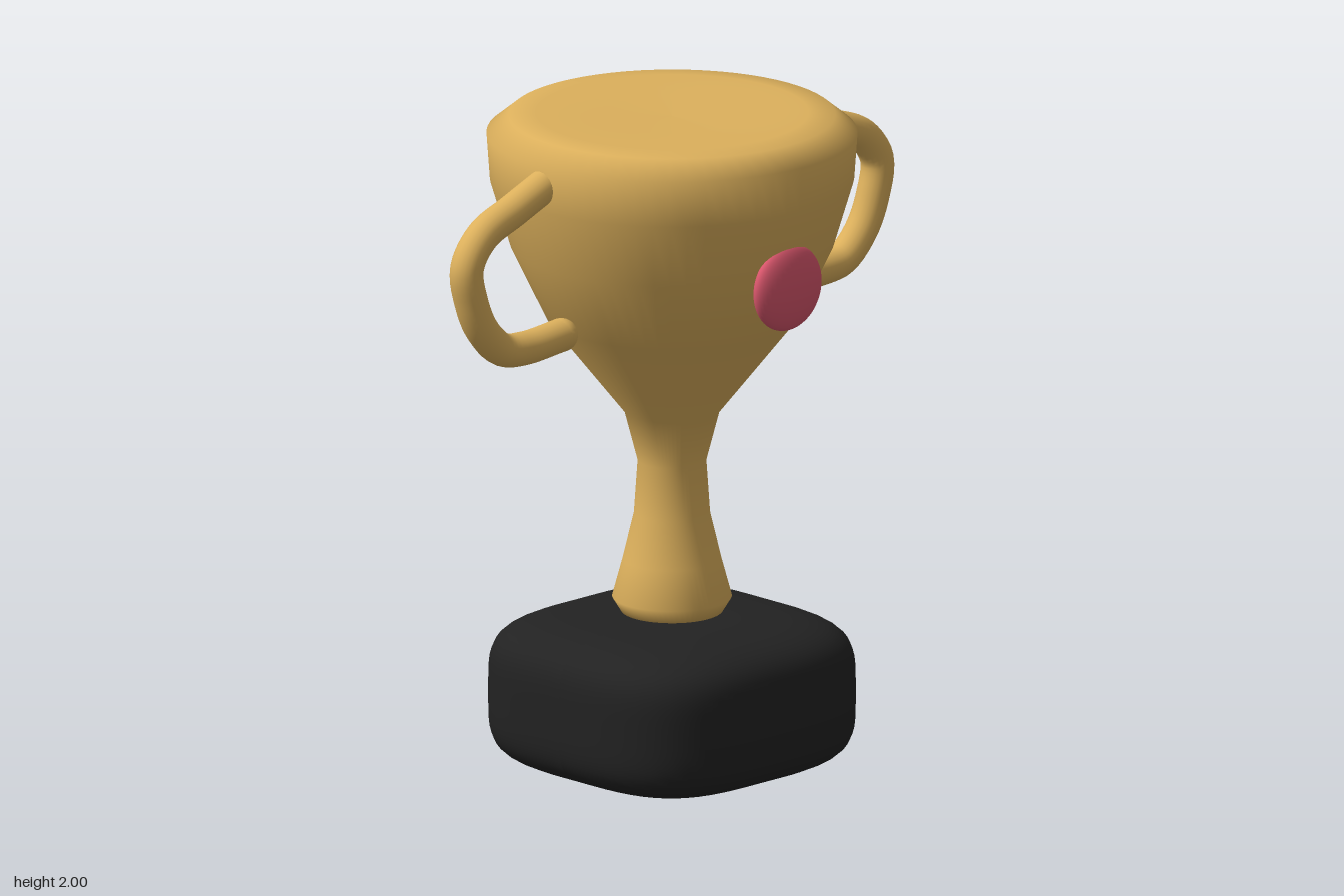
import * as THREE from 'three';

const gold = new THREE.MeshStandardMaterial({ color: 0xdcb05c });
const black = new THREE.MeshStandardMaterial({ color: 0x222222 });
const red = new THREE.MeshStandardMaterial({ color: 0xd9566c });

function addMesh(parent, name, geometry, material) {
  const mesh = new THREE.Mesh(geometry, material);
  mesh.name = name;
  parent.add(mesh);
  return mesh;
}

// Soft pillow-like block: a sphere pushed out to a rounded square solid
function softBlock(halfWidth, halfHeight, planPower, sidePower) {
  const geometry = new THREE.SphereGeometry(1, 64, 48);
  const pos = geometry.attributes.position;
  const v = new THREE.Vector3();
  for (let i = 0; i < pos.count; i++) {
    v.fromBufferAttribute(pos, i);
    const plan = (Math.abs(v.x) ** planPower + Math.abs(v.z) ** planPower) ** (1 / planPower);
    v.divideScalar((plan ** sidePower + Math.abs(v.y) ** sidePower) ** (1 / sidePower));
    pos.setXYZ(i, v.x * halfWidth, v.y * halfHeight, v.z * halfWidth);
  }
  geometry.computeVertexNormals();
  return geometry;
}

// Handle: round tube with domed ends
function makeHandle(side) {
  const handle = new THREE.Group();
  handle.name = side > 0 ? 'leftHandle' : 'rightHandle';
  const points = [
    [0.50, 1.89], [0.65, 1.83], [0.78, 1.775], [0.842, 1.69], [0.825, 1.585],
    [0.78, 1.49], [0.70, 1.415], [0.61, 1.40], [0.455, 1.41],
  ].map(([x, y]) => new THREE.Vector3(x * side, y, 0));
  const path = new THREE.CatmullRomCurve3(points);
  addMesh(handle, 'handleTube', new THREE.TubeGeometry(path, 48, 0.05, 20), gold);
  for (const end of [points[0], points[points.length - 1]]) {
    addMesh(handle, 'handleEnd', new THREE.SphereGeometry(0.05, 20, 14), gold).position.copy(end);
  }
  return handle;
}

export function createModel() {
  const trophy = new THREE.Group();
  trophy.name = 'trophy';

  // Plinth
  addMesh(trophy, 'base', softBlock(0.465, 0.23, 3.5, 4.5), black).position.y = 0.235;

  // Stem and closed bowl in one turned profile
  const profile = [
    [0, 0.465], [0.1, 0.476], [0.15, 0.482], [0.176, 0.525], [0.145, 0.64], [0.112, 0.78],
    [0.101, 0.94], [0.14, 1.09], [0.37, 1.38], [0.475, 1.6], [0.535, 1.8],
    [0.545, 1.94], [0.48, 1.993], [0.4, 2.0], [0.2, 1.992], [0, 1.988],
  ].map(([r, y]) => new THREE.Vector2(r, y));
  addMesh(trophy, 'cup', new THREE.LatheGeometry(profile, 64), gold);

  // Handles on both sides
  for (const side of [1, -1]) trophy.add(makeHandle(side));

  // Front medallion
  const medallion = addMesh(trophy, 'medallion', new THREE.SphereGeometry(1, 40, 28), red);
  medallion.scale.set(0.133, 0.13, 0.045);
  medallion.position.set(0, 1.563, 0.485);

  return trophy;
}
